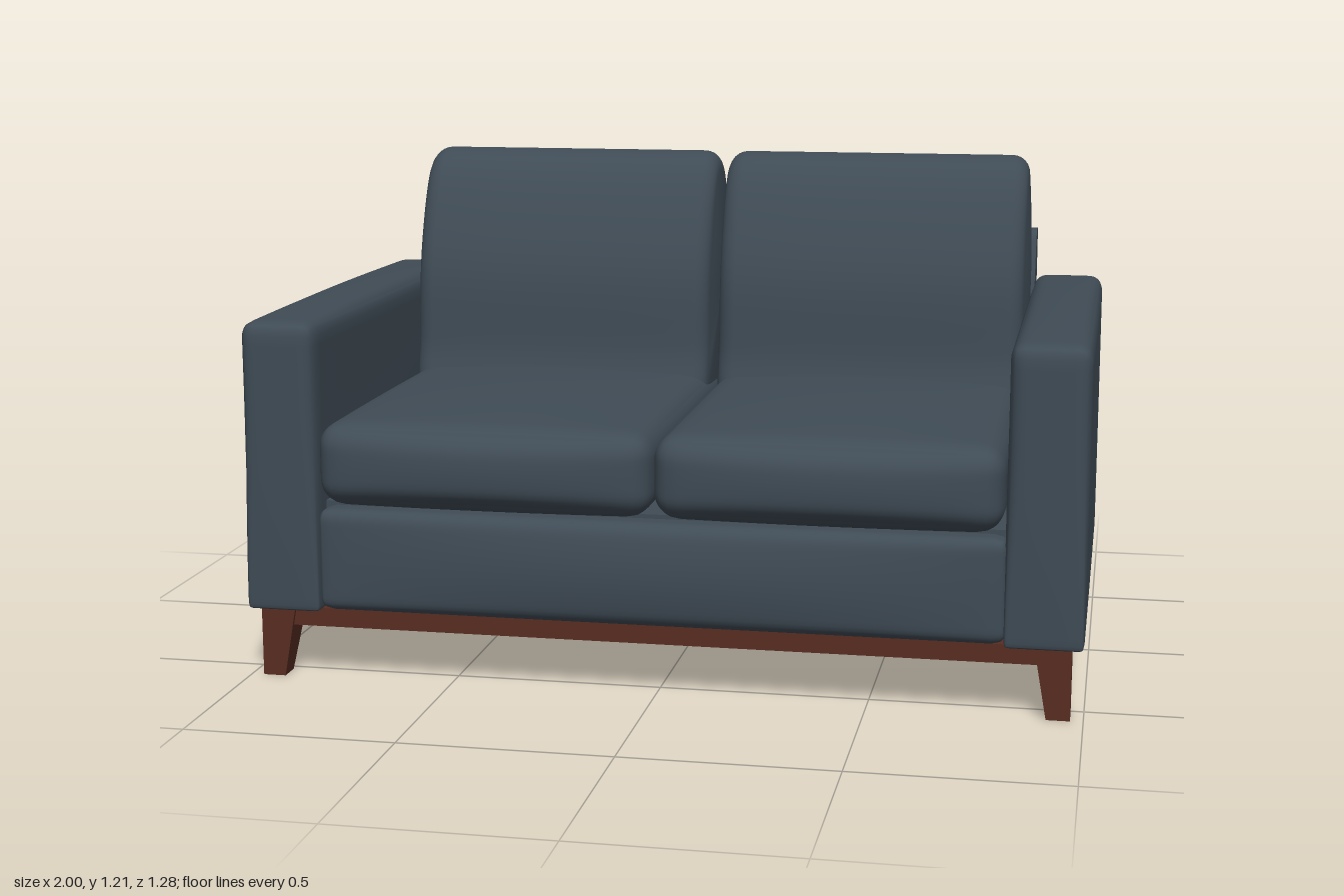
import * as THREE from 'three';
import { mergeVertices } from 'three/addons/utils/BufferGeometryUtils.js';

const fabric = new THREE.MeshStandardMaterial({ color: 0x3f4b55 });
fabric.name = 'slate fabric';
const wood = new THREE.MeshStandardMaterial({ color: 0x572c22 });
wood.name = 'brown wood';
const lining = new THREE.MeshStandardMaterial({ color: 0x111111 });
lining.name = 'black lining';

// Rounded box, softly bulged on each axis; r is the edge radius, rBottom the radius at its foot
function softBox(w, h, d, r, rBottom, puff) {
  const half = new THREE.Vector3(w / 2, h / 2, d / 2);
  let geo = new THREE.BoxGeometry(2, 2, 2, 22, 22, 22);
  geo.deleteAttribute('normal');
  geo.deleteAttribute('uv');
  geo = mergeVertices(geo);
  const pos = geo.attributes.position;
  const t = new THREE.Vector3(), p = new THREE.Vector3(), inner = new THREE.Vector3(), n = new THREE.Vector3();
  const ease = (v) => Math.sin((v * Math.PI) / 2); // crowds rows near the edges
  for (let i = 0; i < pos.count; i++) {
    t.fromBufferAttribute(pos, i);
    t.set(ease(t.x), ease(t.y), ease(t.z));
    p.copy(t).multiply(half);
    const rad = THREE.MathUtils.lerp(rBottom, r, THREE.MathUtils.smoothstep(t.y, -1, 0.6));
    const lim = half.clone().subScalar(rad);
    inner.copy(p).clamp(lim.clone().negate(), lim);
    n.copy(p).sub(inner).normalize();
    p.copy(inner).addScaledVector(n, rad);
    const a = 1 - t.x ** 2, b = 1 - t.y ** 2, c = 1 - t.z ** 2;
    p.x += n.x * puff[0] * b * c;
    p.y += n.y * puff[1] * a * c;
    p.z += n.z * puff[2] * a * b;
    pos.setXYZ(i, p.x, p.y, p.z);
  }
  geo.computeVertexNormals();
  return geo;
}

// Leaning back cushion: a closed side profile swept across x, drawn in at both ends
function backCushionGeometry(width) {
  const profile = [
    [-0.15, 0.55], [-0.165, 0.7], [-0.178, 0.88], [-0.208, 0.99], [-0.275, 1.13], [-0.33, 1.19],
    [-0.4, 1.21], [-0.47, 1.19], [-0.52, 1.13], [-0.535, 1.05], [-0.51, 0.88], [-0.47, 0.7], [-0.44, 0.55],
  ].map(([z, y]) => new THREE.Vector3(0, y, z));
  const loop = new THREE.CatmullRomCurve3(profile, true).getPoints(72).slice(0, 72);
  const cz = -0.35, cy = 0.88, r = 0.045, half = width / 2;

  // Each ring holds x, inset and scale
  const rings = [];
  for (const s of [0, 0.3, 0.6, 0.85]) rings.push([-half + 0.012 * s * s, r, s]);
  for (let k = 0; k <= 6; k++) {
    const a = (k / 6) * Math.PI / 2;
    rings.push([-half + 0.012 + r * (1 - Math.cos(a)), r * (1 - Math.sin(a)), 1]);
  }
  const edge = half - 0.012 - r;
  for (let k = 1; k < 8; k++) rings.push([-edge + (2 * edge * k) / 8, 0, 1]);
  rings.push(...rings.slice(0, 11).reverse().map(([x, i, s]) => [-x, i, s]));

  const verts = [], index = [], m = loop.length;
  for (const [x, inset, s] of rings) {
    const pinch = 0.018 * (x / half) ** 4;
    const sz = s * (1 - (inset + pinch) / 0.19), sy = s * (1 - inset / 0.33);
    for (const q of loop) {
      // keep the lean of the cushion while narrowing it
      const lean = cz - 0.15 * (q.y - cy);
      verts.push(x, cy + (q.y - cy) * sy, cz - 0.15 * (q.y - cy) * sy + (q.z - lean) * sz);
    }
  }
  for (let i = 0; i < rings.length - 1; i++) {
    for (let j = 0; j < m; j++) {
      const a = i * m + j, b = i * m + ((j + 1) % m);
      index.push(a, a + m, b + m, a, b + m, b);
    }
  }
  const geo = new THREE.BufferGeometry();
  geo.setAttribute('position', new THREE.Float32BufferAttribute(verts, 3));
  geo.setIndex(index);
  geo.computeVertexNormals();
  return geo;
}

// Corner leg that tapers on its two inner sides
function legGeometry(sx, sz) {
  const geo = new THREE.BoxGeometry(0.085, 0.17, 0.09);
  const pos = geo.attributes.position;
  for (let i = 0; i < pos.count; i++) {
    if (pos.getY(i) > 0) continue;
    if (pos.getX(i) * sx < 0) pos.setX(i, pos.getX(i) + sx * 0.03);
    if (pos.getZ(i) * sz < 0) pos.setZ(i, pos.getZ(i) + sz * 0.035);
  }
  geo.computeVertexNormals();
  return geo;
}

export function createModel() {
  const group = new THREE.Group();
  const add = (name, geo, mat, x, y, z) => {
    const mesh = new THREE.Mesh(geo, mat);
    mesh.name = name;
    mesh.position.set(x, y, z);
    group.add(mesh);
    return mesh;
  };

  // Arms, seat cushions and back cushions, one per side
  const arm = softBox(0.183, 0.7, 1.235, 0.035, 0.012, [0.003, 0.012, 0.004]);
  const seat = softBox(0.81, 0.2, 0.99, 0.06, 0.06, [0.002, 0.025, 0.022]);
  const backCushion = backCushionGeometry(0.815);
  for (const [side, s] of [['left', 1], ['right', -1]]) {
    add(side + 'Arm', arm, fabric, s * 0.906, 0.52, -0.02);
    add(side + 'SeatCushion', seat, fabric, s * 0.406, 0.535, 0.125);
    add(side + 'BackCushion', backCushion, fabric, s * 0.4085, 0, 0);
  }

  // Seat platform with a padded front
  add('seatPlatform', new THREE.BoxGeometry(1.64, 0.26, 1.1), fabric, 0, 0.302, -0.02);
  add('frontPanel', softBox(1.64, 0.25, 0.12, 0.03, 0.03, [0, 0, 0.022]), fabric, 0, 0.297, 0.53);

  // Backrest frame: upright behind, sloped in front
  const side = new THREE.Shape();
  side.moveTo(0.63, 0.172);
  side.lineTo(0.63, 0.975);
  side.quadraticCurveTo(0.63, 0.998, 0.605, 0.998);
  side.lineTo(0.585, 0.998);
  side.quadraticCurveTo(0.56, 0.998, 0.547, 0.97);
  side.lineTo(0.51, 0.88);
  side.lineTo(0.4, 0.5);
  side.lineTo(0.4, 0.172);
  const back = new THREE.ExtrudeGeometry(side, { depth: 1.64, bevelEnabled: false, curveSegments: 8 });
  back.rotateY(Math.PI / 2);
  add('backrest', back, fabric, -0.82, 0, 0);

  // Wooden base rails
  for (const s of [1, -1]) {
    add(s > 0 ? 'leftRail' : 'rightRail', new THREE.BoxGeometry(0.035, 0.045, 1.15), wood, s * 0.945, 0.15, -0.018);
    add(s > 0 ? 'frontRail' : 'backRail', new THREE.BoxGeometry(1.9, 0.045, 0.035), wood, 0, 0.15, -0.018 + s * 0.567);
  }

  // Legs
  for (const sx of [1, -1]) {
    for (const sz of [1, -1]) {
      const name = (sz > 0 ? 'front' : 'back') + (sx > 0 ? 'Left' : 'Right') + 'Leg';
      add(name, legGeometry(sx, sz), wood, sx * 0.9275, 0.0855, -0.018 + sz * 0.548);
    }
  }

  // Dust cover underneath
  add('dustCover', new THREE.BoxGeometry(1.87, 0.02, 1.12), lining, 0, 0.158, -0.018);

  return group;
}
